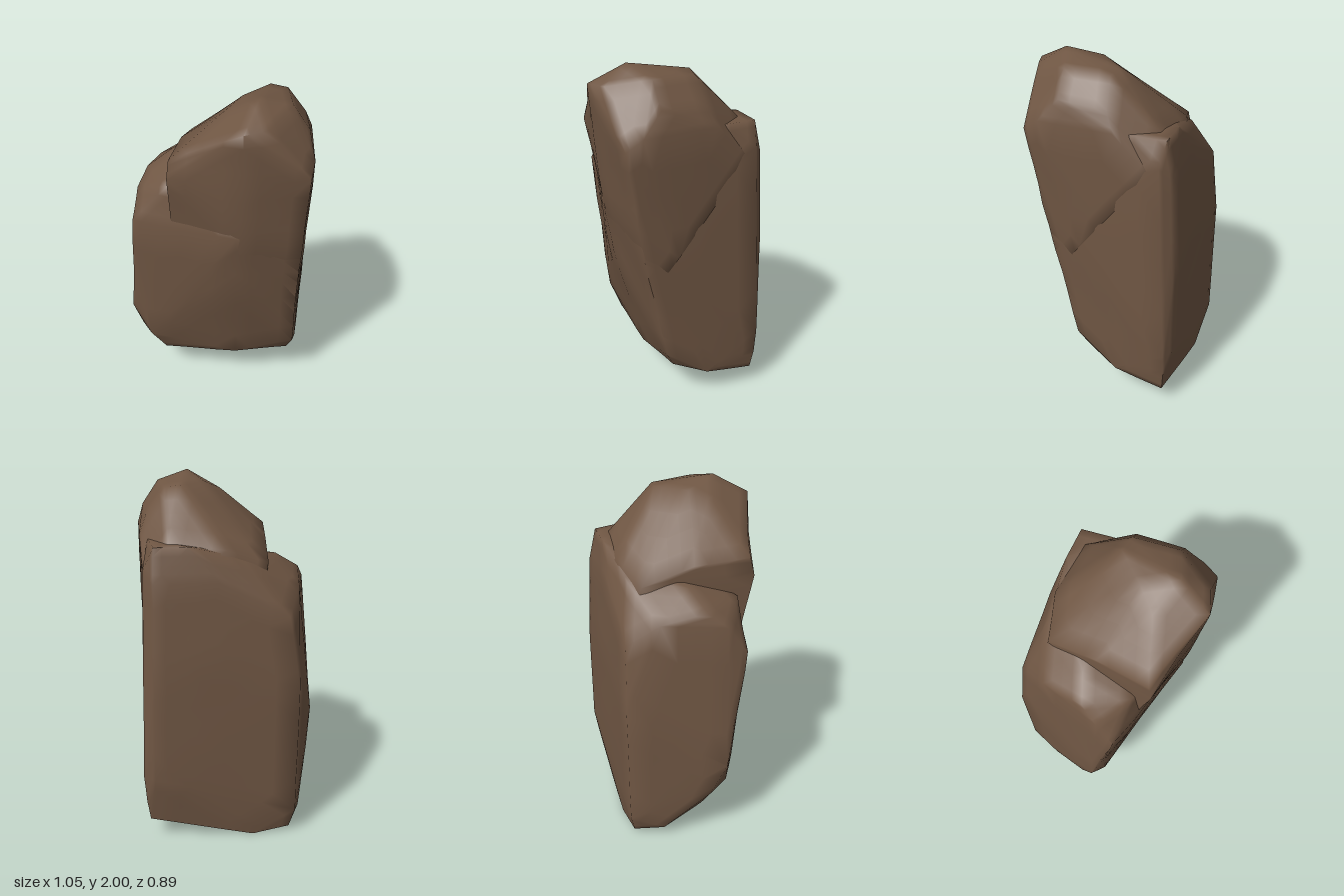
import * as THREE from 'three';
import { ConvexGeometry } from 'three/addons/geometries/ConvexGeometry.js';
import { toCreasedNormals } from 'three/addons/utils/BufferGeometryUtils.js';

// Split every triangle into four
function subdivide(tris) {
  const out = [];
  for (const [a, b, c] of tris) {
    const ab = a.clone().lerp(b, 0.5), bc = b.clone().lerp(c, 0.5), ca = c.clone().lerp(a, 0.5);
    out.push([a, ab, ca], [ab, b, bc], [ca, bc, c], [ab, bc, ca]);
  }
  return out;
}

// Smooth, gently uneven stone from a handful of corner points
function stone(name, corners, material) {
  const p = new ConvexGeometry(corners.map(c => new THREE.Vector3(...c))).attributes.position;
  let tris = [];
  for (let i = 0; i < p.count; i += 3) {
    tris.push([0, 1, 2].map(k => new THREE.Vector3().fromBufferAttribute(p, i + k)));
  }
  tris = subdivide(subdivide(tris));
  const points = tris.flat().map(v => {
    const w = 0.008 * Math.sin(9 * v.x + 5 * v.y) * Math.cos(8 * v.z - 7 * v.y);
    return new THREE.Vector3(v.x * (1 + w), v.y, v.z * (1 + w) + w * 0.6);
  });
  const geometry = toCreasedNormals(new THREE.BufferGeometry().setFromPoints(points), 1.3);
  const mesh = new THREE.Mesh(geometry, material);
  mesh.name = name;
  return mesh;
}

export function createModel() {
  const rock = new THREE.Group();
  rock.name = 'boulder';
  const brown = new THREE.MeshStandardMaterial({ color: 0x6f5643 });
  brown.name = 'brown stone';

  // Wide lower body with a sloped underside and shoulders on the left and back
  rock.add(stone('lowerBody', [
    // underside
    [-0.09, 0, -0.42], [-0.3, 0.03, -0.41], [-0.39, 0.07, -0.25], [0.49, 0.13, -0.39],
    [0.48, 0.18, -0.1], [0, 0.17, 0.04], [-0.36, 0.16, 0],
    // front lower edge
    [-0.34, 0.22, 0.09], [0.1, 0.24, 0.13], [0.42, 0.26, 0.1], [0.45, 0.36, 0.15], [-0.42, 0.36, 0.13],
    // left side
    [-0.49, 0.34, 0], [-0.525, 0.55, 0.08], [-0.49, 0.8, 0.14], [-0.47, 1.25, 0.2],
    [-0.45, 1.4, 0.1], [-0.4, 1.48, 0], [-0.36, 1.43, -0.24], [-0.26, 1.57, -0.05], [-0.27, 1.48, 0.22],
    // front side
    [-0.28, 1.25, 0.27], [0.1, 0.9, 0.31], [0.45, 0.9, 0.27], [0.1, 1.26, 0.375], [0.45, 1.25, 0.33],
    // right side and its bevelled back corner
    [0.51, 0.25, -0.4], [0.52, 0.4, -0.4], [0.46, 0.4, -0.435], [0.5, 1, -0.35], [0.45, 1, -0.43],
    [0.48, 1.1, 0.1], [0.49, 1.55, -0.34], [0.44, 1.5, -0.4],
    // back side and its shoulder
    [-0.33, 0.15, -0.435], [-0.34, 0.9, -0.435], [0.2, 0.6, -0.44], [0.2, 1.1, -0.435], [-0.28, 1.3, -0.41],
    [0.1, 1.5, -0.405], [-0.08, 1.57, -0.33], [0.05, 1.63, -0.34],
    [0.43, 1.68, -0.36], [0.25, 1.68, -0.365], [0.45, 1.69, -0.15],
  ], brown));

  // Taller crown leaning forward out of the body
  rock.add(stone('crown', [
    // ridge
    [0.2, 2, 0.27], [0.37, 1.95, 0.2], [0.26, 1.95, -0.06], [0.12, 1.95, 0.1], [0.02, 1.9, 0.2], [0.35, 1.94, -0.04],
    // left edge
    [-0.25, 1.68, 0.3], [-0.26, 1.58, 0.32], [-0.255, 1.3, 0.27], [-0.21, 1.66, 0], [-0.18, 1.57, -0.28],
    // front side
    [0.13, 1.9, 0.44], [0.25, 1.91, 0.4], [0.13, 1.6, 0.42], [0.12, 1.2, 0.365], [0.47, 1.64, 0.395],
    [0.46, 1.2, 0.33], [-0.22, 0.9, 0.2], [0.1, 0.8, 0.27], [0.44, 0.8, 0.23],
    // right edge
    [0.46, 1.82, 0.2], [0.49, 1.7, 0.31], [0.49, 1.7, -0.1], [0.45, 1.8, -0.06], [0.485, 1, 0.1], [0.485, 1.5, -0.3],
    // back slope
    [0.3, 1.82, -0.15], [0.35, 1.69, -0.3], [0.05, 1.65, -0.34], [0.3, 1.5, -0.4], [-0.1, 1.2, -0.39],
  ], brown));

  return rock;
}
